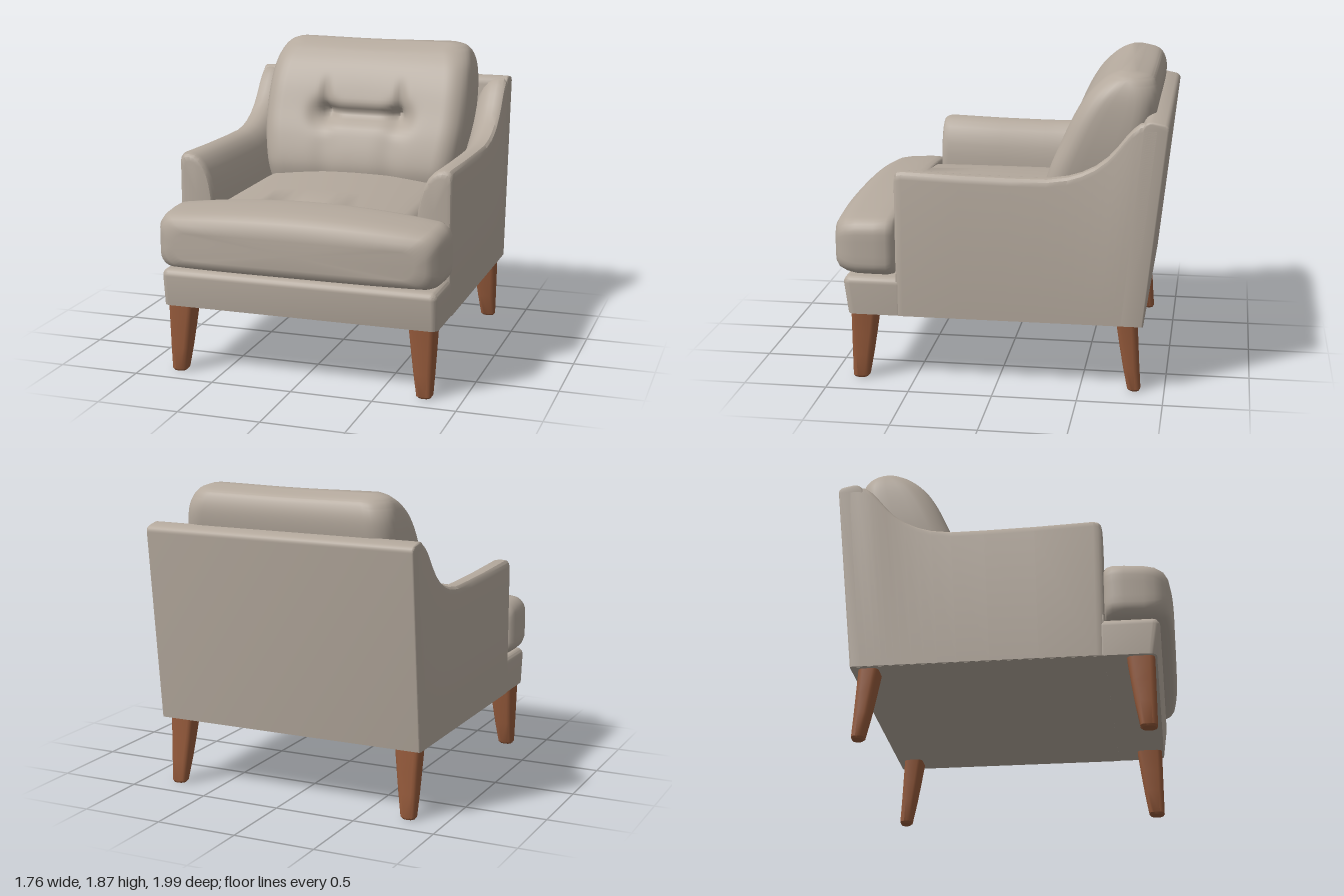
import * as THREE from 'three';
import { toCreasedNormals } from 'three/addons/utils/BufferGeometryUtils.js';
import { RoundedBoxGeometry } from 'three/addons/geometries/RoundedBoxGeometry.js';

const { lerp, smoothstep } = THREE.MathUtils;
const gauss = (d, w) => Math.exp(-((d / w) ** 2));

// Closed rounded rectangle as [u, v] points; nu and nv subdivide its edges
function roundRect(u0, u1, v0, v1, r, k = 5, nu = 1, nv = 1) {
  r = Math.min(r, (u1 - u0) * 0.49, (v1 - v0) * 0.49);
  const corners = [[u1 - r, v1 - r], [u0 + r, v1 - r], [u0 + r, v0 + r], [u1 - r, v0 + r]];
  const pts = [];
  corners.forEach(([cu, cv], c) => {
    for (let i = 0; i <= k; i++) {
      const a = (c + i / k) * Math.PI / 2;
      pts.push([cu + r * Math.cos(a), cv + r * Math.sin(a)]);
    }
    const [pu, pv] = pts[pts.length - 1];
    const a = (c + 1) * Math.PI / 2, next = corners[(c + 1) % 4];
    const qu = next[0] + r * Math.cos(a), qv = next[1] + r * Math.sin(a);
    const n = c % 2 ? nv : nu;
    for (let i = 1; i < n; i++) pts.push([lerp(pu, qu, i / n), lerp(pv, qv, i / n)]);
  });
  return pts;
}

// Skin equal-length rings of [x, y, z], cap both ends, and face outward
function loft(rings, crease = 0.75) {
  const n = rings[0].length, pos = rings.flat(2), index = [];
  for (let i = 0; i < rings.length - 1; i++) {
    for (let j = 0; j < n; j++) {
      const a = i * n + j, b = i * n + (j + 1) % n;
      index.push(a, b, b + n, a, b + n, a + n);
    }
  }
  [[0, true], [rings.length - 1, false]].forEach(([ri, first]) => {
    const c = pos.length / 3;
    for (let d = 0; d < 3; d++) pos.push(rings[ri].reduce((s, p) => s + p[d], 0) / n);
    for (let j = 0; j < n; j++) {
      const a = ri * n + j, b = ri * n + (j + 1) % n;
      index.push(...(first ? [c, b, a] : [c, a, b]));
    }
  });
  // Signed volume tells whether the winding must be reversed
  const P = i => new THREE.Vector3().fromArray(pos, i * 3);
  let vol = 0;
  for (let i = 0; i < index.length; i += 3) {
    vol += P(index[i]).dot(P(index[i + 1]).cross(P(index[i + 2])));
  }
  if (vol < 0) index.reverse();
  const g = new THREE.BufferGeometry();
  g.setAttribute('position', new THREE.Float32BufferAttribute(pos, 3));
  g.setIndex(index);
  return toCreasedNormals(g, crease);
}

// Smoothly resample a short table of stations
function resample(table, count) {
  const out = [];
  for (let i = 0; i <= count; i++) {
    const t = i / count * (table.length - 1), k = Math.min(Math.floor(t), table.length - 2), f = t - k;
    const at = j => table[Math.max(0, Math.min(table.length - 1, j))];
    out.push(table[0].map((_, c) => {
      const [a, b, d, e] = [at(k - 1)[c], at(k)[c], at(k + 1)[c], at(k + 2)[c]];
      return b + 0.5 * f * (d - a + f * (2 * a - 5 * b + 4 * d - e + f * (3 * (b - d) + e - a)));
    }));
  }
  return out;
}

// Arm: section swept front to back, rising into the leaning back
function armGeometry(side) {
  const stations = [ // z, top height, inset of the front edge
    [0.6, 1.25, 0.035], [0.595, 1.277, 0.015], [0.58, 1.293, 0.004], [0.55, 1.3, 0],
    [0.2, 1.288, 0], [-0.1, 1.283, 0], [-0.3, 1.283, 0], [-0.42, 1.3, 0], [-0.5, 1.325, 0],
    [-0.58, 1.365, 0], [-0.65, 1.42, 0], [-0.7, 1.475, 0], [-0.75, 1.54, 0],
    [-0.79, 1.585, 0], [-0.83, 1.618, 0], [-0.88, 1.63, 0], [-0.93, 1.628, 0]];
  const section = [ // x, drop below the top
    [0.86, 0.5], [0.86, 0.045], [0.854, 0.018], [0.838, 0.003], [0.8, 0], [0.765, 0.008], [0.735, 0.026],
    [0.705, 0.06], [0.68, 0.105], [0.66, 0.165], [0.646, 0.24], [0.64, 0.33]];
  const backZ = y => -0.83 - 0.1 * (y - 0.42);
  return loft(stations.map(([z, h, inset]) => {
    const pts = section.map(([x, d], i) => [x, i ? h - d : 0.42]);
    pts.push([0.64, 0.42]);
    return pts.map(([x, y]) => {
      const zz = 0.6 + (z - 0.6) * (backZ(y) - 0.6) / (backZ(h) - 0.6);
      return [side * (x + (0.75 - x) * inset / 0.11), y, zz];
    });
  }), 0.6);
}

// T-shaped seat cushion with a crowned top
function seatGeometry() {
  const stations = [ // z, half width, bottom, top, crown
    [1.0, 0.74, 0.74, 0.9, 0.01], [0.992, 0.8, 0.705, 0.94, 0.02], [0.97, 0.835, 0.685, 0.967, 0.035],
    [0.92, 0.862, 0.67, 0.985, 0.05], [0.85, 0.873, 0.66, 0.993, 0.057], [0.72, 0.88, 0.66, 0.998, 0.062],
    [0.65, 0.878, 0.66, 1.0, 0.062], [0.615, 0.865, 0.665, 0.995, 0.065], [0.602, 0.84, 0.68, 0.985, 0.072],
    [0.6, 0.635, 0.66, 1.0, 0.058], [0.3, 0.635, 0.66, 1.0, 0.062], [-0.2, 0.635, 0.66, 1.0, 0.06],
    [-0.7, 0.63, 0.66, 0.99, 0.05]];
  return loft(stations.map(([z, hw, y0, y1, crown]) =>
    roundRect(-hw, hw, y0, y1, 0.08, 6, 16, 4).map(([x, y]) => [
      x,
      y + crown * (1 - (x / hw) ** 2) * (y - y0) / (y1 - y0),
      z - 0.04 * (x / 0.88) ** 4 * smoothstep(z, 0.7, 1)])), 0.9);
}

// Leaning back cushion with two tufts joined by a crease
function backCushionGeometry() {
  const stations = [ // y, front z, rear z, half width
    [0.98, -0.25, -0.6, 0.62], [1.1, -0.235, -0.7, 0.642], [1.28, -0.28, -0.8, 0.668], [1.45, -0.35, -0.86, 0.68],
    [1.6, -0.42, -0.9, 0.678], [1.72, -0.495, -0.915, 0.665], [1.8, -0.57, -0.9, 0.64],
    [1.845, -0.63, -0.865, 0.605], [1.87, -0.69, -0.78, 0.54]];
  return loft(resample(stations, 56).map(([y, zf, zb, hw]) =>
    roundRect(-hw, hw, zb, zf, 0.13, 6, 56, 4).map(([x, z]) => {
      const ax = Math.abs(x);
      const front = smoothstep(z, lerp(zb, zf, 0.5), zf);
      const within = 1 - smoothstep(ax, 0.22, 0.29);
      const tuft = 0.065 * gauss(Math.hypot(ax - 0.26, y - 1.41), 0.075);
      const crease = 0.065 * within * gauss(y - 1.41, 0.045);
      const pleat = 0.025 * gauss(ax - 0.255, 0.03) * smoothstep(y, 1.36, 1.42) * (1 - smoothstep(y, 1.5, 1.68));
      const fold = 0.012 * gauss(ax - 0.22, 0.08) * (1 - smoothstep(y, 1.2, 1.42));
      const sag = 0.02 * gauss(x, 0.45) * gauss(y - 1.45, 0.2);
      return [x, y - 0.008 * gauss(x, 0.4) * smoothstep(y, 1.8, 1.87), z - front * (tuft + crease + pleat + fold + sag)];
    })), 1.0);
}

// Upright back panel, extruded across the width
function backPanelGeometry() {
  const s = new THREE.Shape();
  s.moveTo(-0.86, 0.42);
  s.lineTo(-0.982, 1.585);
  s.quadraticCurveTo(-0.985, 1.605, -0.965, 1.612);
  s.lineTo(-0.9, 1.625);
  s.quadraticCurveTo(-0.86, 1.625, -0.85, 1.58);
  s.lineTo(-0.74, 0.42);
  const b = 0.012;
  const g = new THREE.ExtrudeGeometry(s, {
    depth: 1.72 - 2 * b, bevelEnabled: true, bevelSize: b, bevelThickness: b, bevelSegments: 3, curveSegments: 6 });
  g.translate(0, 0, -0.86 + b);
  // Shape x becomes z, extrusion becomes x
  g.rotateY(-Math.PI / 2);
  const p = g.attributes.position;
  for (let i = 0; i < p.count; i++) p.setY(i, Math.max(0.42, p.getY(i)));
  return toCreasedNormals(g, 0.6);
}

// Front rail: rounded block with a flat underside
function railGeometry() {
  const g = new RoundedBoxGeometry(1.71, 0.3, 0.37, 5, 0.045);
  g.translate(0, 0.502, 0.732);
  const p = g.attributes.position;
  for (let i = 0; i < p.count; i++) {
    const y = Math.max(0.42, p.getY(i));
    p.setY(i, y);
    if (p.getZ(i) > 0.8) p.setZ(i, p.getZ(i) - 0.025 * (1 - smoothstep(y, 0.42, 0.56)));
  }
  return toCreasedNormals(g, 0.7);
}

// Tapered leg with rounded corners
function legGeometry(side, front) {
  const stations = [[0, 0.03], [0.012, 0], [0.15, 0], [0.28, 0], [0.43, 0]];
  return loft(stations.map(([y, e]) => {
    const t = (y / 0.43) ** 0.85, i = e * 0.25;
    const z0 = front ? lerp(0.785, 0.72, t) : lerp(-0.86, -0.83, t);
    const z1 = front ? 0.88 : lerp(-0.785, -0.71, t);
    return roundRect(lerp(0.728, 0.675, t) + i, lerp(0.818, 0.832, t) - i, z0 + i, z1 - i, 0.03, 3)
      .map(([x, z]) => [side * x, y, z]);
  }), 0.6);
}

export function createModel() {
  const fabric = new THREE.MeshStandardMaterial({ color: 0xb4a99d });
  fabric.name = 'taupe upholstery';
  const wood = new THREE.MeshStandardMaterial({ color: 0x955a3b });
  wood.name = 'brown wood';
  const group = new THREE.Group();
  group.name = 'armchair';
  const add = (name, geometry, material) => {
    const mesh = new THREE.Mesh(geometry, material);
    mesh.name = name;
    group.add(mesh);
  };

  const base = new THREE.BoxGeometry(1.7, 0.26, 1.45);
  base.translate(0, 0.549, -0.13);
  add('seatBase', base, fabric);
  add('frontRail', railGeometry(), fabric);
  add('backPanel', backPanelGeometry(), fabric);
  add('seatCushion', seatGeometry(), fabric);
  add('backCushion', backCushionGeometry(), fabric);
  for (const side of [1, -1]) {
    const label = side > 0 ? 'left' : 'right';
    add(label + 'Arm', armGeometry(side), fabric);
    add(label + 'FrontLeg', legGeometry(side, true), wood);
    add(label + 'BackLeg', legGeometry(side, false), wood);
  }
  return group;
}
